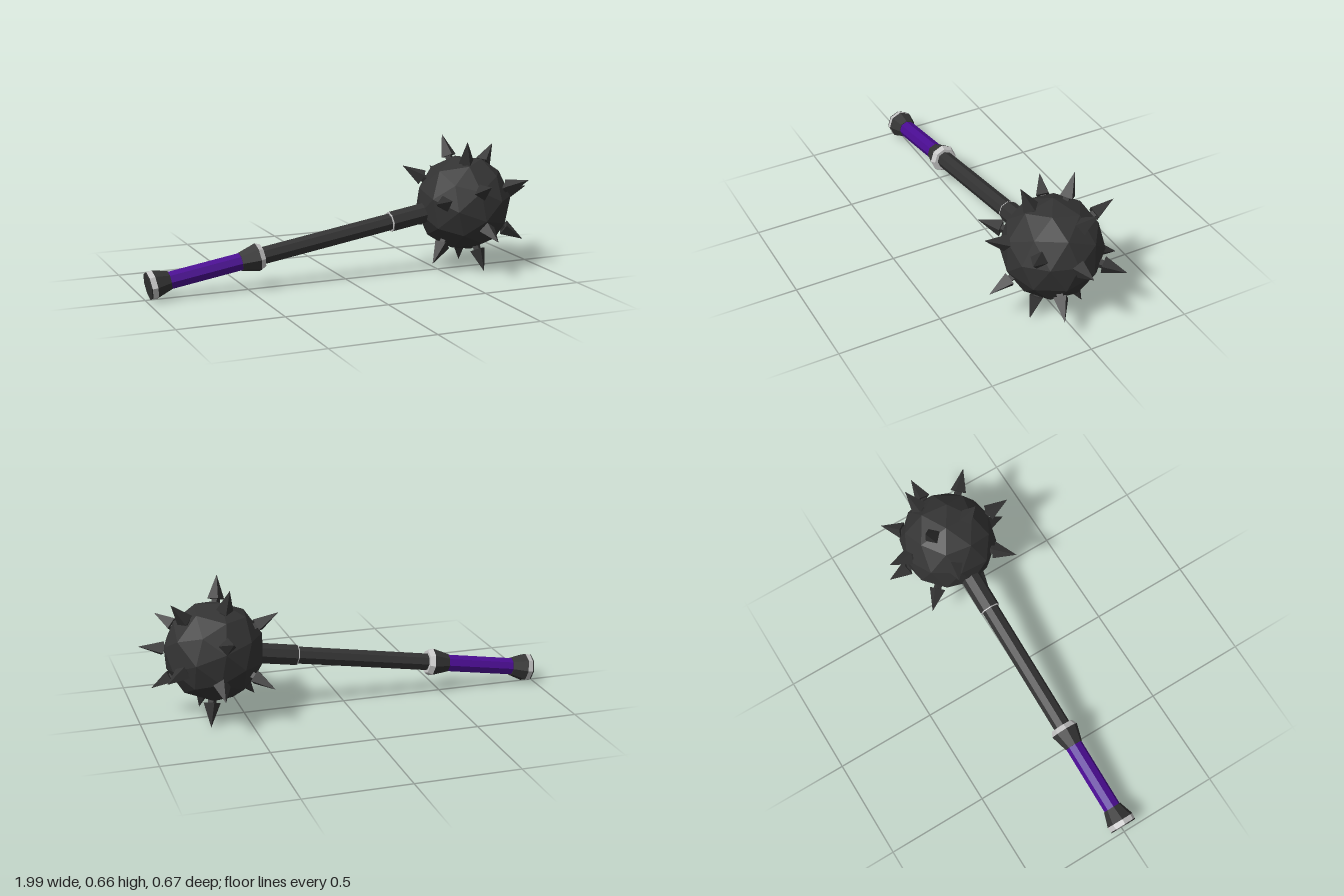
import * as THREE from 'three';

const dark = new THREE.MeshStandardMaterial({ color: 0x333333, flatShading: true });
dark.name = 'dark iron';
const silver = new THREE.MeshStandardMaterial({ color: 0xc4c4c4, flatShading: true });
silver.name = 'silver trim';
const purple = new THREE.MeshStandardMaterial({ color: 0x4a0c92, flatShading: true });
purple.name = 'purple grip';

const R = 0.24;
const rad = THREE.MathUtils.degToRad;

// Eight-sided section along the mace axis, from (y0, r0) to (y1, r1)
function section(name, y0, r0, y1, r1, material, open = false) {
  const geo = new THREE.CylinderGeometry(r1, r0, y1 - y0, 8, 1, open);
  geo.translate(0, (y0 + y1) / 2, 0);
  const mesh = new THREE.Mesh(geo, material);
  mesh.name = name;
  return mesh;
}

// Four-sided spike on a short neck, pointing out of the ball
function spike(azimuth, tilt) {
  const group = new THREE.Group();
  group.name = 'spike';
  const point = new THREE.Mesh(new THREE.ConeGeometry(0.041, 0.115, 4).translate(0, 0.3025, 0), dark);
  point.name = 'spikePoint';
  const neck = new THREE.Mesh(new THREE.CylinderGeometry(0.02, 0.02, 0.045, 4).translate(0, 0.2275, 0), dark);
  neck.name = 'spikeNeck';
  group.add(point, neck);
  group.rotation.order = 'YXZ';
  group.rotation.set(rad(tilt), -rad(azimuth), 0);
  return group;
}

export function createModel() {
  const model = new THREE.Group();
  model.name = 'spikedMace';

  // Everything is built along y around the ball centre, then laid down
  const mace = new THREE.Group();
  mace.name = 'mace';
  mace.position.set(0.637, 0.332, 0);
  mace.rotation.z = -rad(80.8);
  model.add(mace);

  // Handle, from pommel to collar
  mace.add(
    section('pommelCap', -1.643, 0.067, -1.638, 0.067, dark),
    section('pommelBand', -1.638, 0.067, -1.612, 0.07, silver, true),
    section('pommel', -1.612, 0.07, -1.54, 0.046, dark),
    section('grip', -1.55, 0.043, -1.18, 0.043, purple),
    section('guard', -1.19, 0.046, -1.105, 0.07, dark),
    section('guardBand', -1.105, 0.07, -1.08, 0.058, silver),
    section('shaft', -1.09, 0.043, -0.39, 0.043, dark),
    section('collarRim', -0.408, 0.051, -0.403, 0.051, silver),
    section('collar', -0.403, 0.051, -0.18, 0.051, dark),
  );

  // Faceted ball with one pole on the shaft axis
  const ballGeo = new THREE.IcosahedronGeometry(R, 1);
  ballGeo.rotateX(-Math.atan((1 + Math.sqrt(5)) / 2));
  ballGeo.rotateY(-rad(5));
  const ball = new THREE.Mesh(ballGeo, dark);
  ball.name = 'ball';
  mace.add(ball);

  // Spikes: one at the tip, eight around the middle, four before and four behind
  mace.add(spike(22.5, 0));
  for (let i = 0; i < 8; i++) mace.add(spike(22.5 + 45 * i, 90));
  for (let i = 0; i < 4; i++) {
    mace.add(spike(22.5 + 90 * i, 45), spike(22.5 + 90 * i, 135));
  }
  return model;
}
